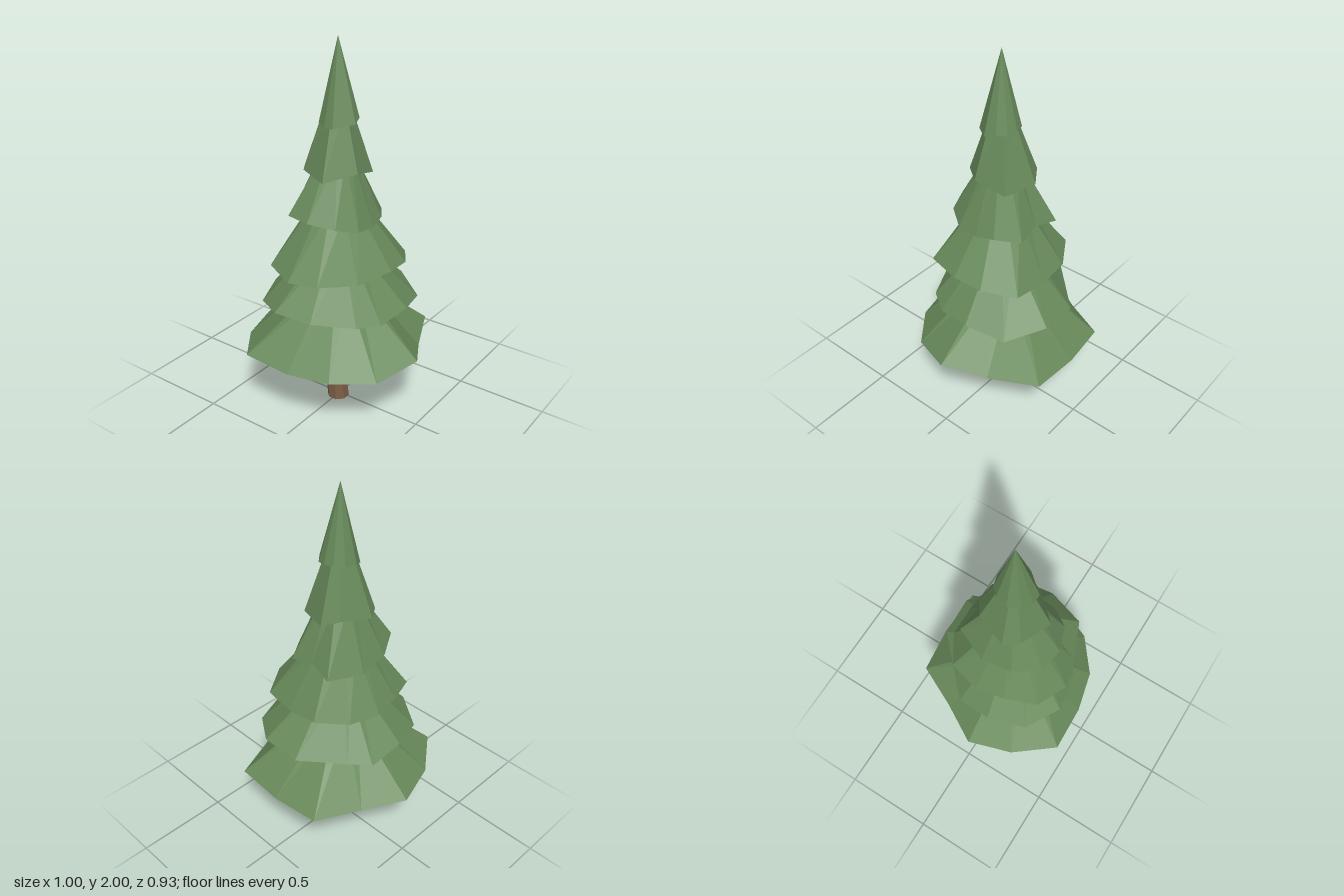
import * as THREE from 'three';

const CZ = 0.013; // trunk axis is slightly forward of centre

const green = new THREE.MeshStandardMaterial({ color: 0x67895a });
green.name = 'needle green';
const brown = new THREE.MeshStandardMaterial({ color: 0x7a5c44 });
brown.name = 'bark brown';

// Unindexed triangles give every facet its own flat normal
function facetMesh(name, triangles, material) {
  const geometry = new THREE.BufferGeometry();
  geometry.setAttribute('position', new THREE.Float32BufferAttribute(triangles.flat(2), 3));
  geometry.computeVertexNormals();
  const mesh = new THREE.Mesh(geometry, material);
  mesh.name = name;
  return mesh;
}

// Skirt of branches: ragged rim of [x, y, z] corners, narrowing to a small ring, closed below
function tier(name, rim, topY, topR) {
  const n = rim.length;
  const ring = rim.map(([x, , z]) => {
    const a = Math.atan2(z - CZ, x);
    return [topR * Math.cos(a), topY, CZ + topR * Math.sin(a)];
  });
  const meanY = rim.reduce((sum, p) => sum + p[1], 0) / n;
  const under = [0, meanY + 0.015, CZ];
  const tris = [];
  for (let i = 0; i < n; i++) {
    const j = (i + 1) % n;
    tris.push([rim[j], rim[i], ring[i]], [rim[i], rim[j], under]);
    if (topR > 0.01) tris.push([rim[j], ring[i], ring[j]]);
  }
  return facetMesh(name, tris, green);
}

// Bent trunk from octagonal cross-sections [y, centre x, radius]
function trunk() {
  const sides = 8;
  const rings = [[0, 0, 0.061], [0.25, -0.023, 0.049], [0.45, -0.012, 0.038]].map(([y, cx, r]) =>
    Array.from({ length: sides }, (_, i) => {
      const a = ((i + 0.5) / sides) * Math.PI * 2;
      return [cx + r * Math.cos(a), y, CZ + r * Math.sin(a)];
    }));
  const tris = [];
  for (let i = 0; i < sides; i++) {
    const j = (i + 1) % sides;
    for (let k = 0; k < 2; k++) {
      const [lo, hi] = [rings[k], rings[k + 1]];
      tris.push([lo[j], lo[i], hi[i]], [lo[j], hi[i], hi[j]]);
    }
    tris.push([rings[0][i], rings[0][j], [0, 0, CZ]]);
  }
  return facetMesh('trunk', tris, brown);
}

export function createModel() {
  const tree = new THREE.Group();
  tree.name = 'pineTree';
  tree.add(trunk());

  // Branch tiers from the ground up
  tree.add(tier('branchTier1', [
    [-0.262, 0.36, -0.438], [0, 0.36, -0.468], [0.27, 0.37, -0.457], [0.382, 0.35, -0.2],
    [0.5, 0.4, 0.013], [0.41, 0.355, 0.25], [0.222, 0.36, 0.398], [0, 0.36, 0.452],
    [-0.262, 0.385, 0.463], [-0.422, 0.365, 0.254], [-0.498, 0.36, 0.013], [-0.374, 0.35, -0.203],
  ], 0.7, 0.13));

  tree.add(tier('branchTier2', [
    [-0.078, 0.63, -0.39], [0.139, 0.645, -0.396], [0.324, 0.605, -0.267], [0.382, 0.64, -0.06],
    [0.353, 0.615, 0.131], [0.28, 0.625, 0.245], [0.07, 0.625, 0.348], [-0.128, 0.645, 0.385],
    [-0.307, 0.61, 0.273], [-0.377, 0.64, 0.075], [-0.364, 0.6, -0.115], [-0.273, 0.61, -0.203],
  ], 0.92, 0.12));

  tree.add(tier('branchTier3', [
    [-0.123, 0.85, -0.294], [0.048, 0.835, -0.302], [0.23, 0.84, -0.278], [0.33, 0.865, -0.12],
    [0.345, 0.88, 0.04], [0.286, 0.865, 0.243], [0.1, 0.83, 0.325], [-0.053, 0.83, 0.366],
    [-0.225, 0.85, 0.29], [-0.29, 0.865, 0.126], [-0.32, 0.86, -0.03], [-0.278, 0.87, -0.198],
  ], 1.16, 0.13));

  tree.add(tier('branchTier4', [
    [-0.147, 1.08, -0.222], [-0.008, 1.11, -0.198], [0.118, 1.08, -0.211], [0.193, 1.09, -0.094],
    [0.214, 1.075, 0.008], [0.206, 1.08, 0.123], [0.136, 1.11, 0.225], [0.003, 1.13, 0.275],
    [-0.13, 1.135, 0.254], [-0.209, 1.1, 0.12], [-0.222, 1.07, -0.045],
  ], 1.42, 0.085));

  tree.add(tier('branchTier5', [
    [-0.043, 1.325, -0.163], [0.128, 1.315, -0.11], [0.152, 1.355, 0.059], [0.037, 1.32, 0.193],
    [-0.128, 1.34, 0.128], [-0.18, 1.335, 0.053], [-0.123, 1.36, -0.11],
  ], 1.68, 0.058));

  tree.add(tier('treeTop', [
    [0.008, 1.61, -0.088], [0.06, 1.6, -0.072], [0.097, 1.61, -0.03], [0.115, 1.59, 0.027],
    [0.043, 1.575, 0.118], [-0.01, 1.57, 0.115], [-0.064, 1.585, 0.085], [-0.096, 1.605, 0.027],
    [-0.083, 1.61, -0.035], [-0.043, 1.615, -0.075],
  ], 2, 0));

  return tree;
}
